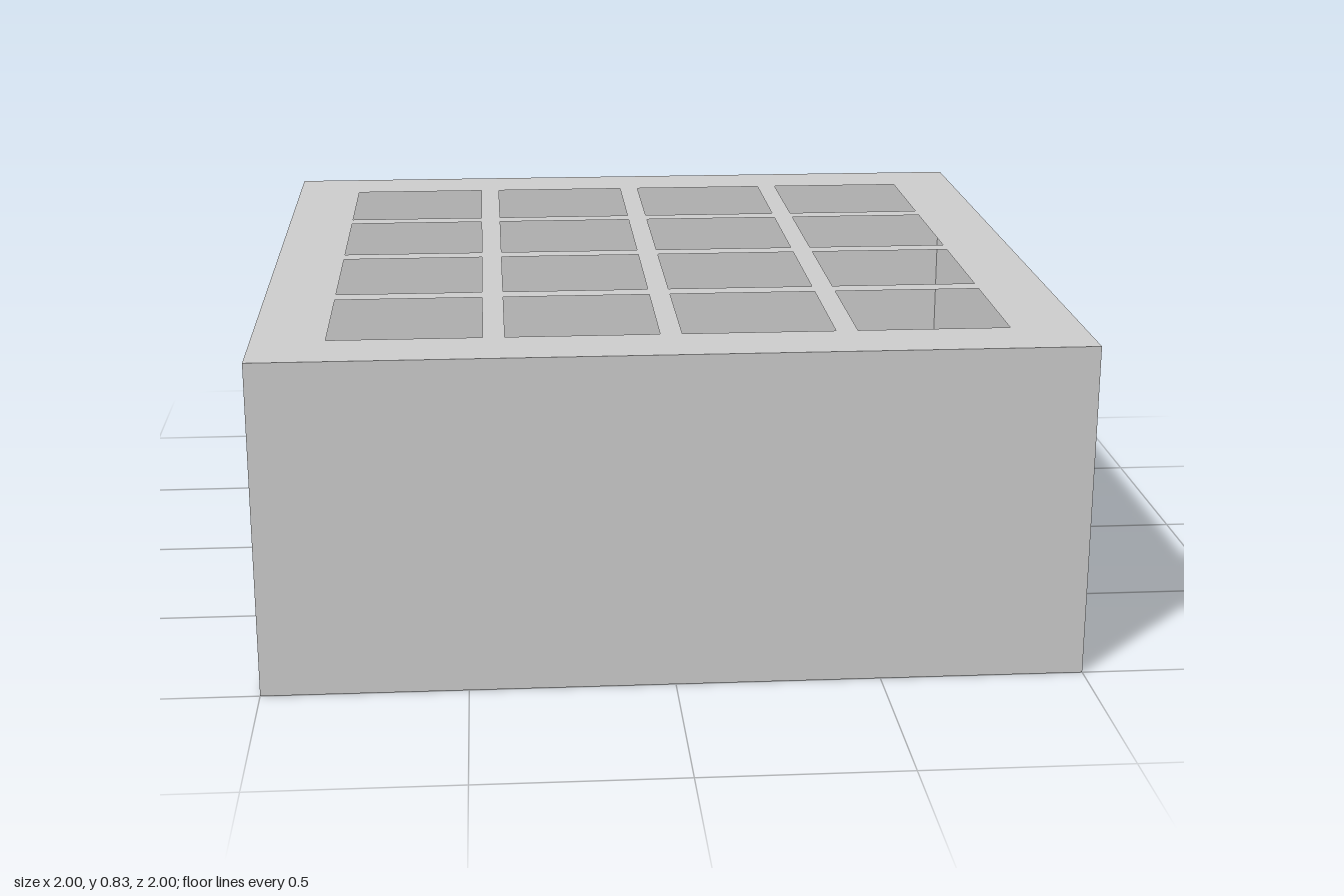
import * as THREE from 'three';

const SIZE = 2, HEIGHT = 0.832, HALF = SIZE / 2;
const HOLE = 0.371, PITCH = 0.424, COUNT = 4;

export function createModel() {
  const group = new THREE.Group();
  const material = new THREE.MeshStandardMaterial({
    color: 0xcccccc, flatShading: true, side: THREE.DoubleSide,
  });
  const add = (name, geometry) => {
    const mesh = new THREE.Mesh(geometry, material);
    mesh.name = name;
    group.add(mesh);
  };

  // Four thin sheet walls around an open cavity
  ['frontWall', 'leftWall', 'backWall', 'rightWall'].forEach((name, i) => {
    add(name, new THREE.PlaneGeometry(SIZE, HEIGHT)
      .translate(0, HEIGHT / 2, HALF)
      .rotateY(i * Math.PI / 2));
  });

  // Floor, facing down
  add('floor', new THREE.PlaneGeometry(SIZE, SIZE).rotateX(Math.PI / 2));

  // Grating lid: square sheet with a grid of square openings
  const lid = new THREE.Shape([
    new THREE.Vector2(-HALF, -HALF), new THREE.Vector2(HALF, -HALF),
    new THREE.Vector2(HALF, HALF), new THREE.Vector2(-HALF, HALF),
  ]);
  const r = HOLE / 2;
  for (let i = 0; i < COUNT; i++) {
    for (let j = 0; j < COUNT; j++) {
      const x = (i - (COUNT - 1) / 2) * PITCH;
      const y = (j - (COUNT - 1) / 2) * PITCH;
      lid.holes.push(new THREE.Path([
        new THREE.Vector2(x - r, y - r), new THREE.Vector2(x - r, y + r),
        new THREE.Vector2(x + r, y + r), new THREE.Vector2(x + r, y - r),
      ]));
    }
  }
  add('gratingLid', new THREE.ShapeGeometry(lid)
    .rotateX(-Math.PI / 2)
    .translate(0, HEIGHT, 0));

  return group;
}
